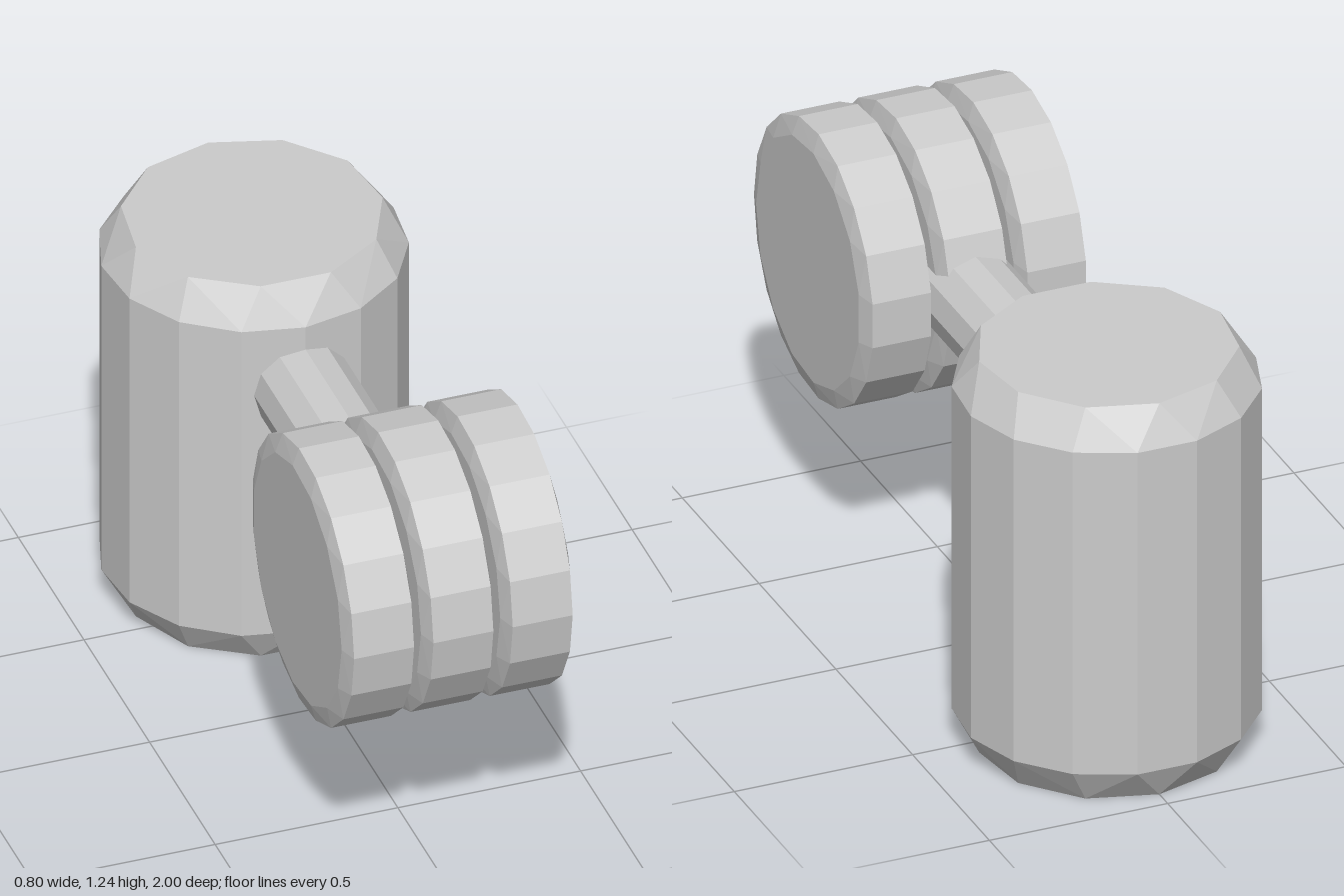
import * as THREE from 'three';
import { ConvexGeometry } from 'three/addons/geometries/ConvexGeometry.js';

const material = new THREE.MeshStandardMaterial({ color: 0xcccccc, flatShading: true });

// Ring of points around the y axis; the first point lies at the phase angle from +z.
function ring(radius, y, sides, phase = 0) {
  return Array.from({ length: sides }, (_, i) => {
    const a = phase + (i / sides) * Math.PI * 2;
    return new THREE.Vector3(Math.sin(a) * radius, y, Math.cos(a) * radius);
  });
}

// Faceted drum along y: coarse end caps, finer wall, faceted bevel between them.
function bevelledDrum({ radius, capRadius, half, bevel, sides, capSides, capPhase }) {
  return new ConvexGeometry([
    ...ring(capRadius, -half, capSides, capPhase),
    ...ring(radius, -half + bevel, sides),
    ...ring(radius, half - bevel, sides),
    ...ring(capRadius, half, capSides, capPhase),
  ]);
}

export function createModel() {
  const group = new THREE.Group();
  const add = (name, geometry, x, y, z) => {
    const mesh = new THREE.Mesh(geometry, material);
    mesh.name = name;
    mesh.position.set(x, y, z);
    group.add(mesh);
    return mesh;
  };

  // Upright body at the back
  add('body', bevelledDrum({
    radius: 0.402, capRadius: 0.341, half: 0.574, bevel: 0.102,
    sides: 15, capSides: 11, capPhase: Math.PI,
  }), 0, 0.574, -0.605);

  // Axle arm reaching forward into the wheels
  const arm = new THREE.CylinderGeometry(0.131, 0.131, 0.97, 12);
  arm.rotateX(Math.PI / 2);
  add('arm', arm, 0, 0.846, 0.185);

  // Three thin bevelled wheels side by side
  const wheel = bevelledDrum({
    radius: 0.389, capRadius: 0.338, half: 0.098, bevel: 0.016,
    sides: 19, capSides: 15, capPhase: 0,
  });
  wheel.rotateZ(Math.PI / 2);
  [['rightWheel', -0.217], ['middleWheel', 0], ['leftWheel', 0.217]].forEach(([name, x]) =>
    add(name, wheel, x, 0.848, 0.611));

  return group;
}
